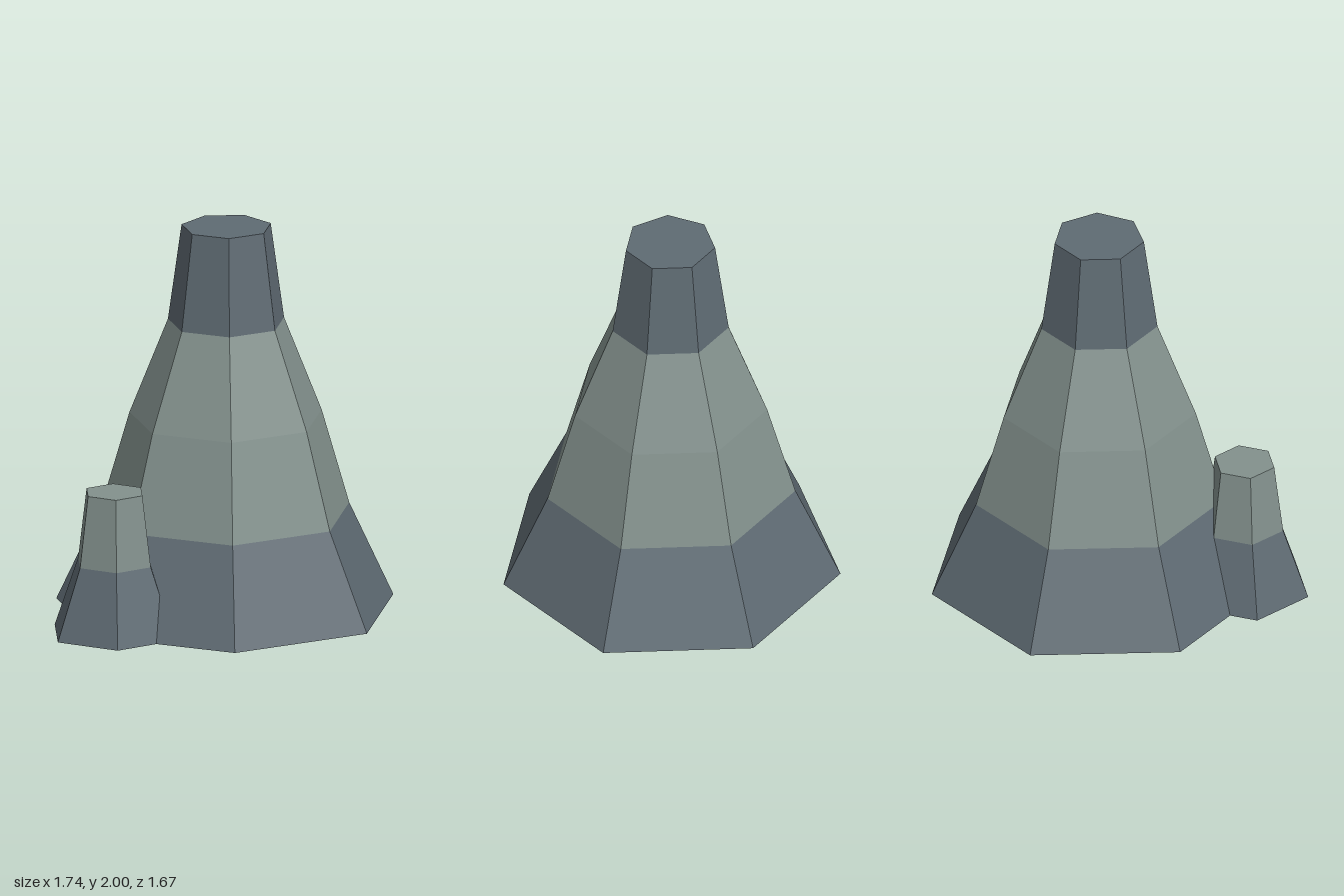
import * as THREE from 'three';

export function createModel() {
  const slate = new THREE.MeshStandardMaterial({ name: 'slate', color: 0x5f6b73, flatShading: true });
  const paleStone = new THREE.MeshStandardMaterial({ name: 'paleStone', color: 0x83918d, flatShading: true });

  // Horizontal end face whose first corner points to +z, like the cylinder bands
  function cap(radius, sides, y, up, material, name) {
    const s = up ? -1 : 1;
    const geometry = new THREE.CircleGeometry(radius, sides, s * Math.PI / 2);
    geometry.rotateX(s * Math.PI / 2);
    const mesh = new THREE.Mesh(geometry, material);
    mesh.position.y = y;
    mesh.name = name;
    return mesh;
  }

  // Tapering column of stacked bands, closed at both ends
  function spire(name, sides, bandHeight, radii, materials) {
    const group = new THREE.Group();
    group.name = name;
    materials.forEach((material, i) => {
      const geometry = new THREE.CylinderGeometry(radii[i + 1], radii[i], bandHeight, sides, 1, true);
      const band = new THREE.Mesh(geometry, material);
      band.position.y = (i + 0.5) * bandHeight;
      band.name = `${name}Band${i + 1}`;
      group.add(band);
    });
    const n = materials.length;
    group.add(cap(radii[0], sides, 0, false, materials[0], `${name}Base`));
    group.add(cap(radii[n], sides, n * bandHeight, true, materials[n - 1], `${name}Top`));
    return group;
  }

  const model = new THREE.Group();
  model.name = 'rockChimneys';

  // Tall seven-sided chimney
  const tall = spire('tallChimney', 7, 0.5, [0.877, 0.645, 0.5, 0.302, 0.232],
    [slate, paleStone, paleStone, slate]);
  tall.position.set(0.013, 0, -0.047);

  // Small six-sided chimney at its foot
  const small = spire('smallChimney', 6, 0.37, [0.341, 0.207, 0.159], [slate, paleStone]);
  small.position.set(-0.578, 0, 0.418);

  model.add(tall, small);
  return model;
}
